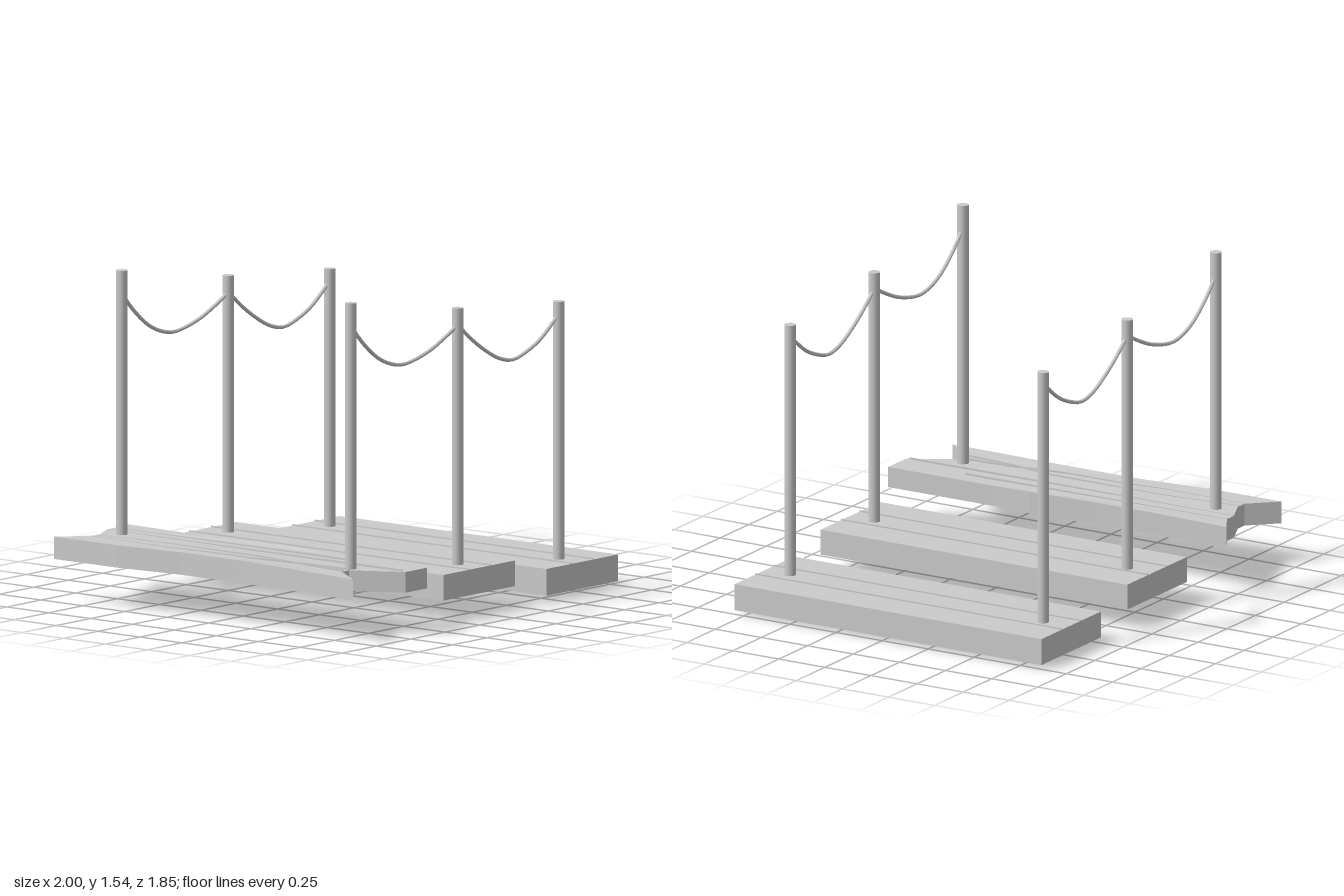
import * as THREE from 'three';

const material = new THREE.MeshStandardMaterial({ color: 0xcccccc, side: THREE.DoubleSide });

function add(parent, name, geometry, x = 0, y = 0, z = 0) {
  const mesh = new THREE.Mesh(geometry, material);
  mesh.name = name;
  mesh.position.set(x, y, z);
  parent.add(mesh);
  return mesh;
}

// Thin raised seam running along a path of [x, z] points
function addSeam(parent, name, path, y, height) {
  for (let i = 0; i < path.length - 1; i++) {
    const [x0, z0] = path[i], [x1, z1] = path[i + 1];
    const box = new THREE.BoxGeometry(0.003, height, Math.hypot(x1 - x0, z1 - z0));
    add(parent, name, box, (x0 + x1) / 2, y, (z0 + z1) / 2).rotation.y = Math.atan2(x1 - x0, z1 - z0);
  }
}

// Straight plank step with two lengthwise seams
function makeStep(name, x0, x1, y0, y1) {
  const step = new THREE.Group();
  step.name = name;
  const back = -0.865, front = 0.8;
  add(step, 'stepBoard', new THREE.BoxGeometry(x1 - x0, y1 - y0, front - back),
    (x0 + x1) / 2, (y0 + y1) / 2, (back + front) / 2);
  for (const t of [0.345, 0.655]) {
    const x = x0 + (x1 - x0) * t;
    addSeam(step, 'stepSeam', [[x, back], [x, front]], y1, 0.014);
  }
  return step;
}

// Weathered top step with a jagged outline and wandering cracks
function makeBrokenStep() {
  const step = new THREE.Group();
  step.name = 'brokenStep';
  const outline = [
    [-1, 0.86], [-0.87, 0.69], [-0.82, 0.69], [-0.69, 0.92], [-0.535, 0.92], [-0.535, 0.35],
    [-0.52, 0.14], [-0.535, -0.2], [-0.535, -0.55], [-0.52, -0.925], [-0.63, -0.86], [-0.69, -0.86],
    [-0.82, -0.8], [-0.88, -0.8], [-1, -0.925], [-1, -0.55], [-0.965, -0.2], [-0.965, 0.2],
  ];
  const shape = new THREE.Shape(outline.map(([x, z]) => new THREE.Vector2(x, -z)));
  const board = new THREE.ExtrudeGeometry(shape, { depth: 0.1, bevelEnabled: false });
  board.rotateX(-Math.PI / 2);
  // Slight rise of the top toward the back
  const p = board.attributes.position;
  for (let i = 0; i < p.count; i++) {
    if (p.getY(i) > 0.05) p.setY(i, p.getZ(i) > 0.3 ? 0.097 : 0.105);
  }
  board.computeVertexNormals();
  add(step, 'brokenBoard', board, 0, 0.2, 0);

  const cracks = [
    [[-0.88, -0.8], [-0.89, -0.35], [-0.87, -0.15], [-0.87, 0.15], [-0.83, 0.45], [-0.82, 0.69]],
    [[-0.84, -0.8], [-0.805, -0.4], [-0.81, 0.2], [-0.85, 0.45], [-0.87, 0.69]],
    [[-0.69, -0.86], [-0.695, -0.3], [-0.695, 0.15], [-0.69, 0.9]],
    [[-0.63, -0.86], [-0.62, -0.1], [-0.615, 0.55]],
  ];
  for (const crack of cracks) addSeam(step, 'crack', crack, 0.302, 0.01);
  return step;
}

// Posts and sagging ropes of one side
function makeRailing(name, shift, z) {
  const rail = new THREE.Group();
  rail.name = name;
  const posts = [[-0.775, 0.19, 1.54], [0, 0.07, 1.415], [0.735, 0, 1.35]];
  for (const [x, y0, y1] of posts) {
    add(rail, 'post', new THREE.CylinderGeometry(0.027, 0.027, y1 - y0, 14), x + shift, (y0 + y1) / 2, z);
  }
  const ropes = [
    [[-0.77, 1.425], [-0.69, 1.342], [-0.58, 1.257], [-0.48, 1.215], [-0.39, 1.202], [-0.22, 1.236], [-0.1, 1.285], [0, 1.335]],
    [[0, 1.335], [0.1, 1.255], [0.2, 1.19], [0.3, 1.14], [0.4, 1.12], [0.5, 1.145], [0.6, 1.19], [0.735, 1.29]],
  ];
  for (const rope of ropes) {
    const curve = new THREE.CatmullRomCurve3(rope.map(([x, y]) => new THREE.Vector3(x + shift, y, z)));
    add(rail, 'rope', new THREE.TubeGeometry(curve, 24, 0.009, 8));
  }
  return rail;
}

export function createModel() {
  const model = new THREE.Group();
  model.name = 'ropeRailSteps';
  model.add(
    makeBrokenStep(),
    makeStep('middleStep', -0.27, 0.25, 0.095, 0.215),
    makeStep('lowerStep', 0.48, 1, 0.02, 0.145),
    makeRailing('frontRailing', 0, 0.663),
    makeRailing('backRailing', 0.025, -0.725),
  );
  return model;
}
